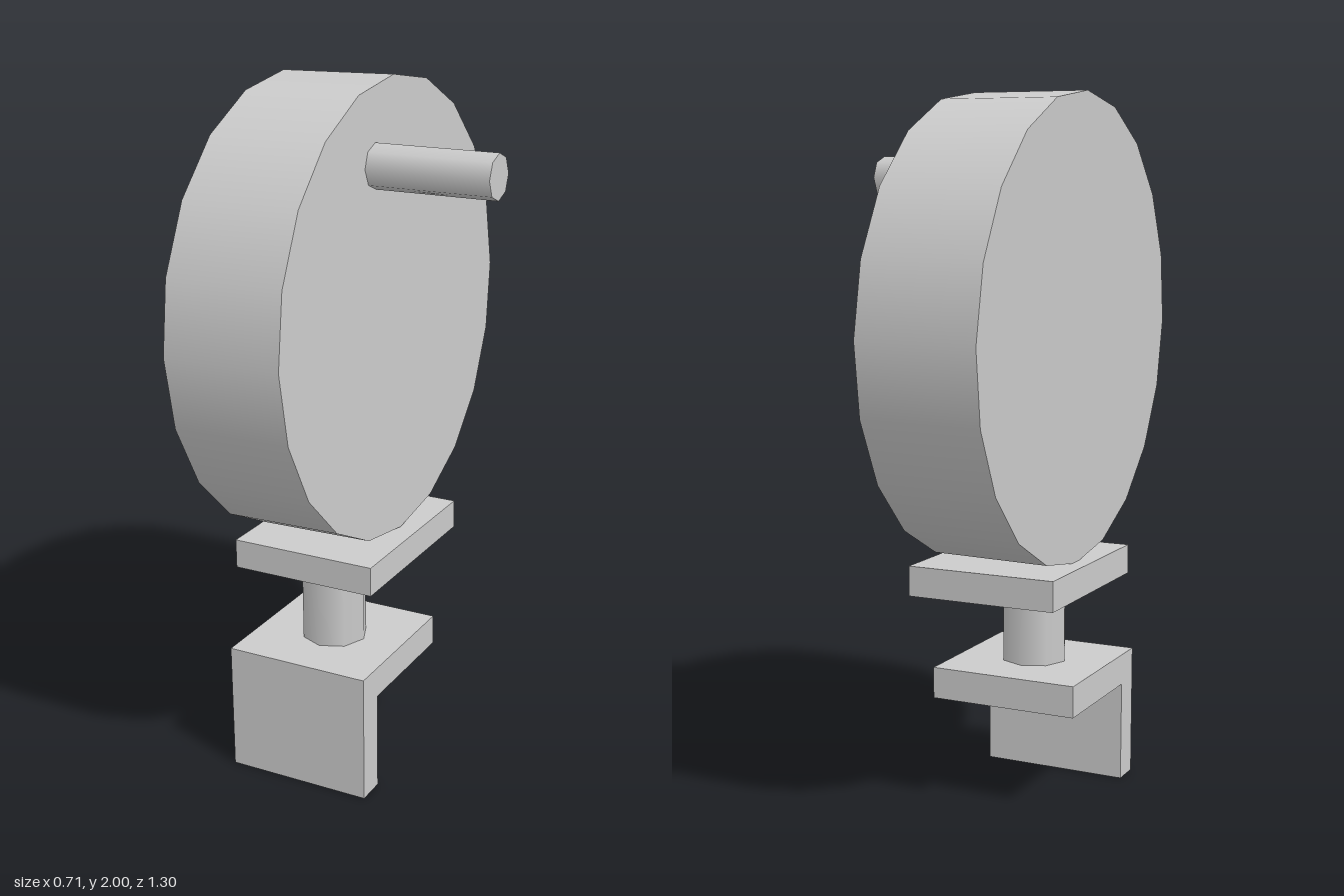
import * as THREE from 'three';

const material = new THREE.MeshStandardMaterial({ color: 0xcccccc });

function add(group, name, geometry, x, y, z) {
  const mesh = new THREE.Mesh(geometry, material);
  mesh.name = name;
  mesh.position.set(x, y, z);
  group.add(mesh);
  return mesh;
}

export function createModel() {
  const group = new THREE.Group();
  group.name = 'clampedWheel';
  const cx = -0.142, width = 0.435;

  // Thick disc, leaning very slightly
  const disc = add(group, 'disc', new THREE.CylinderGeometry(0.648, 0.648, 0.338, 20), -0.159, 1.352, 0);
  disc.rotation.z = -Math.PI / 2 + 0.018;

  // Handle pin standing out of the disc face
  const pin = add(group, 'handlePin', new THREE.CylinderGeometry(0.062, 0.062, 0.375, 8), 0.1675, 1.777, 0.113);
  pin.rotation.z = -Math.PI / 2;

  // Support plate on a short post
  add(group, 'supportPlate', new THREE.BoxGeometry(width, 0.085, 0.55), cx, 0.6625, 0.02);
  add(group, 'post', new THREE.CylinderGeometry(0.096, 0.096, 0.26, 8), -0.139, 0.5, 0.115);

  // L-shaped bracket: profile drawn as (-z, y) and extruded along x
  const profile = new THREE.Shape([
    [-0.342, 0], [-0.257, 0], [-0.257, 0.29], [0.112, 0.29], [0.112, 0.38], [-0.342, 0.38],
  ].map(([u, v]) => new THREE.Vector2(u, v)));
  const bracket = new THREE.ExtrudeGeometry(profile, { depth: width, bevelEnabled: false });
  bracket.rotateY(Math.PI / 2);
  add(group, 'bracket', bracket, cx - width / 2, 0, 0);

  return group;
}
